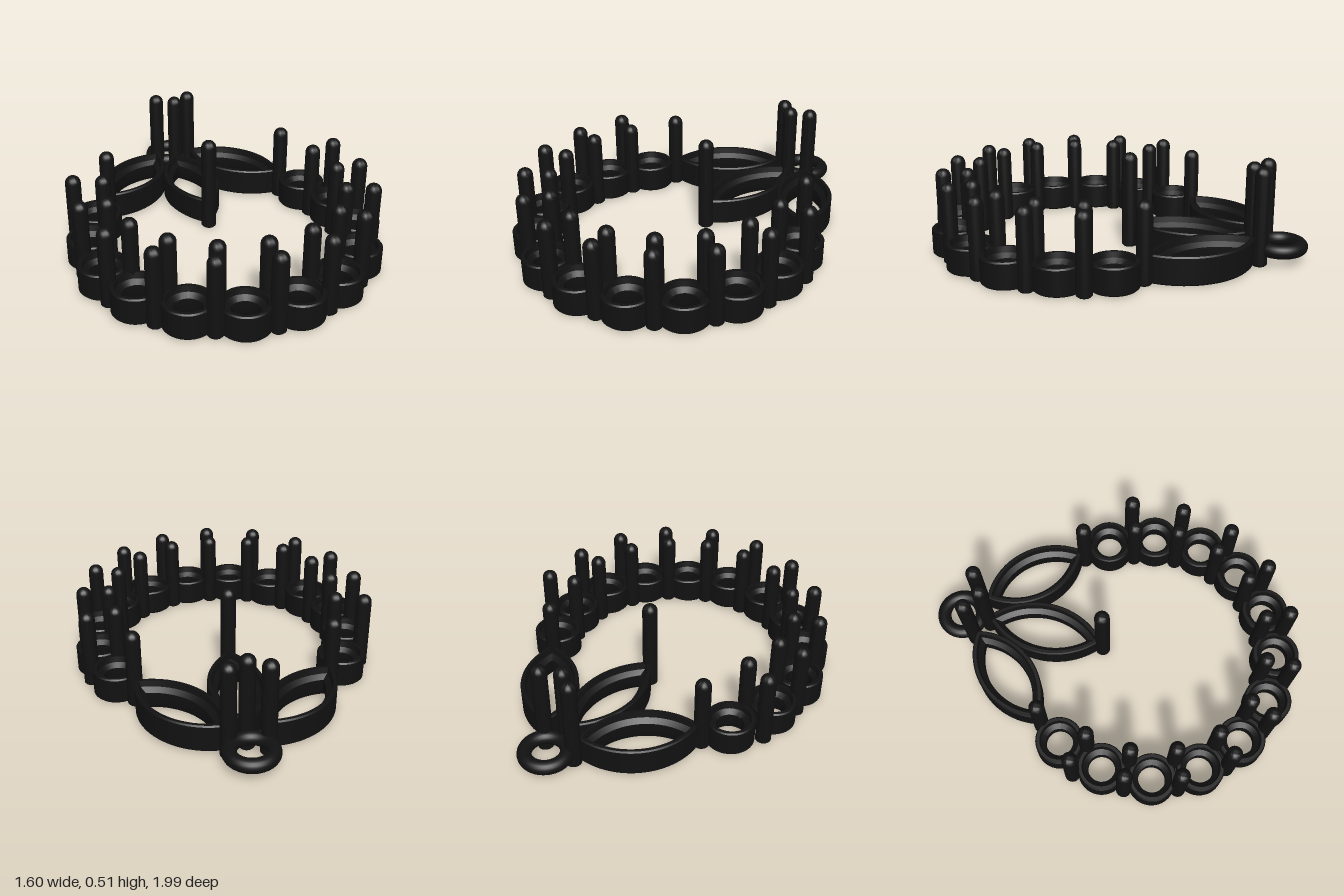
import * as THREE from 'three';
import { toCreasedNormals } from 'three/addons/utils/BufferGeometryUtils.js';

const material = new THREE.MeshStandardMaterial({ color: 0x111111 });

// Setting wall cross-section as [inset from outer edge, height]
const WALL = [
  [0.008, 0.005], [0, 0.013], [0, 0.138], [0.006, 0.145], [0.022, 0.145],
  [0.028, 0.115], [0.054, 0.095], [0.054, 0.035], [0.04, 0.005],
];

// Sweep the wall around a closed outline; outline(inset) returns [x, z] points
function settingGeometry(outline, heightScale = 1) {
  const loops = WALL.map(([inset]) => outline(inset));
  const n = loops[0].length, m = WALL.length;
  const positions = [], index = [];
  WALL.forEach(([, y], j) => loops[j].forEach(([x, z]) => positions.push(x, y * heightScale, z)));
  for (let j = 0; j < m; j++) {
    for (let i = 0; i < n; i++) {
      const a = j * n + i, b = j * n + (i + 1) % n;
      const k = ((j + 1) % m) * n;
      const c = k + i, d = k + (i + 1) % n;
      index.push(a, c, b, b, c, d);
    }
  }
  const geometry = new THREE.BufferGeometry();
  geometry.setAttribute('position', new THREE.Float32BufferAttribute(positions, 3));
  geometry.setIndex(index);
  return toCreasedNormals(geometry, 0.6);
}

const circle = (radius, n = 48) => (inset) =>
  Array.from({ length: n }, (_, i) => {
    const a = (i / n) * Math.PI * 2;
    return [(radius - inset) * Math.cos(a), (radius - inset) * Math.sin(a)];
  });

// Pointed leaf made of two arcs, long axis along z
const leaf = (half, width, n = 28) => (inset) => {
  const R = (half * half + width * width) / (2 * width);
  const c = R - width, r = R - inset, max = Math.acos(c / r);
  const side = Array.from({ length: n }, (_, i) => {
    const a = -max + (2 * max * i) / n;
    return [r * Math.cos(a) - c, r * Math.sin(a)];
  });
  return [...side, ...side.map(([x, z]) => [-x, -z])];
};

// Upright pin with a domed top
function prongGeometry(height, radius = 0.04) {
  const points = [[0, 0], [radius - 0.008, 0], [radius, 0.008]].map(p => new THREE.Vector2(...p));
  for (let i = 0; i <= 8; i++) {
    const a = (i / 8) * Math.PI / 2;
    points.push(new THREE.Vector2(i === 8 ? 0 : radius * Math.cos(a), height - radius + radius * Math.sin(a)));
  }
  return toCreasedNormals(new THREE.LatheGeometry(points, 24), 0.7);
}

export function createModel() {
  const group = new THREE.Group();
  const add = (name, geometry, x, y, z) => {
    const mesh = new THREE.Mesh(geometry, material);
    mesh.name = name;
    mesh.position.set(x, y, z);
    group.add(mesh);
    return mesh;
  };

  const roundSetting = settingGeometry(circle(0.125));
  const sideLeaf = settingGeometry(leaf(0.3, 0.15), 1.05);
  const shortProng = prongGeometry(0.42);
  const tallProng = prongGeometry(0.51);

  // Thin bar joining the two pins between neighbouring settings
  const addBar = (x1, z1, x2, z2) => {
    const length = Math.hypot(x2 - x1, z2 - z1);
    const bar = add('linkBar', new THREE.CylinderGeometry(0.022, 0.022, length, 16),
      (x1 + x2) / 2, 0.075, (z1 + z2) / 2);
    bar.rotation.set(Math.PI / 2, 0, -Math.atan2(x2 - x1, z2 - z1));
  };

  const rounds = [[0.589, -0.16], [0.675, 0.087], [0.671, 0.353], [0.565, 0.586], [0.372, 0.767], [0.132, 0.867]];
  // Outer pin x, z and inner pin x, z
  const pairs = [
    [0.724, -0.06, 0.58, -0.013], [0.743, 0.22, 0.61, 0.22], [0.679, 0.496, 0.554, 0.446],
    [0.515, 0.724, 0.424, 0.637], [0.278, 0.878, 0.23, 0.761],
  ];

  for (const s of [1, -1]) {
    rounds.forEach(([x, z]) => add('roundSetting', roundSetting, s * x, 0, z));
    pairs.forEach(([x1, z1, x2, z2]) => {
      add('outerProng', shortProng, s * x1, 0, z1);
      add('innerProng', shortProng, s * x2, 0, z2);
      addBar(s * x1, z1, s * x2, z2);
    });
    // Side leaf with the pins at its two tips
    add('sideLeafSetting', sideLeaf, s * 0.3, 0, -0.52).rotation.y = s * Math.atan2(0.4, 0.445);
    add('leafTipProng', shortProng, s * 0.504, 0, -0.284);
    add('topProng', tallProng, s * 0.095, 0, -0.77);
  }

  // Pair of pins closing the loop at the front
  add('frontInnerProng', shortProng, 0, 0, 0.8);
  add('frontOuterProng', shortProng, 0, 0, 0.936);
  addBar(0, 0.8, 0, 0.936);

  // Central leaf and its pins
  add('centreLeafSetting', settingGeometry(leaf(0.32, 0.147)), 0, 0, -0.39);
  add('centreTopProng', tallProng, 0, 0, -0.713);
  add('centreTipProng', tallProng, 0, 0, -0.063);

  // Flat hanging ring at the back
  add('hangingRing', new THREE.TorusGeometry(0.104, 0.036, 20, 56), 0, 0.083, -0.86).rotation.x = Math.PI / 2;

  return group;
}
